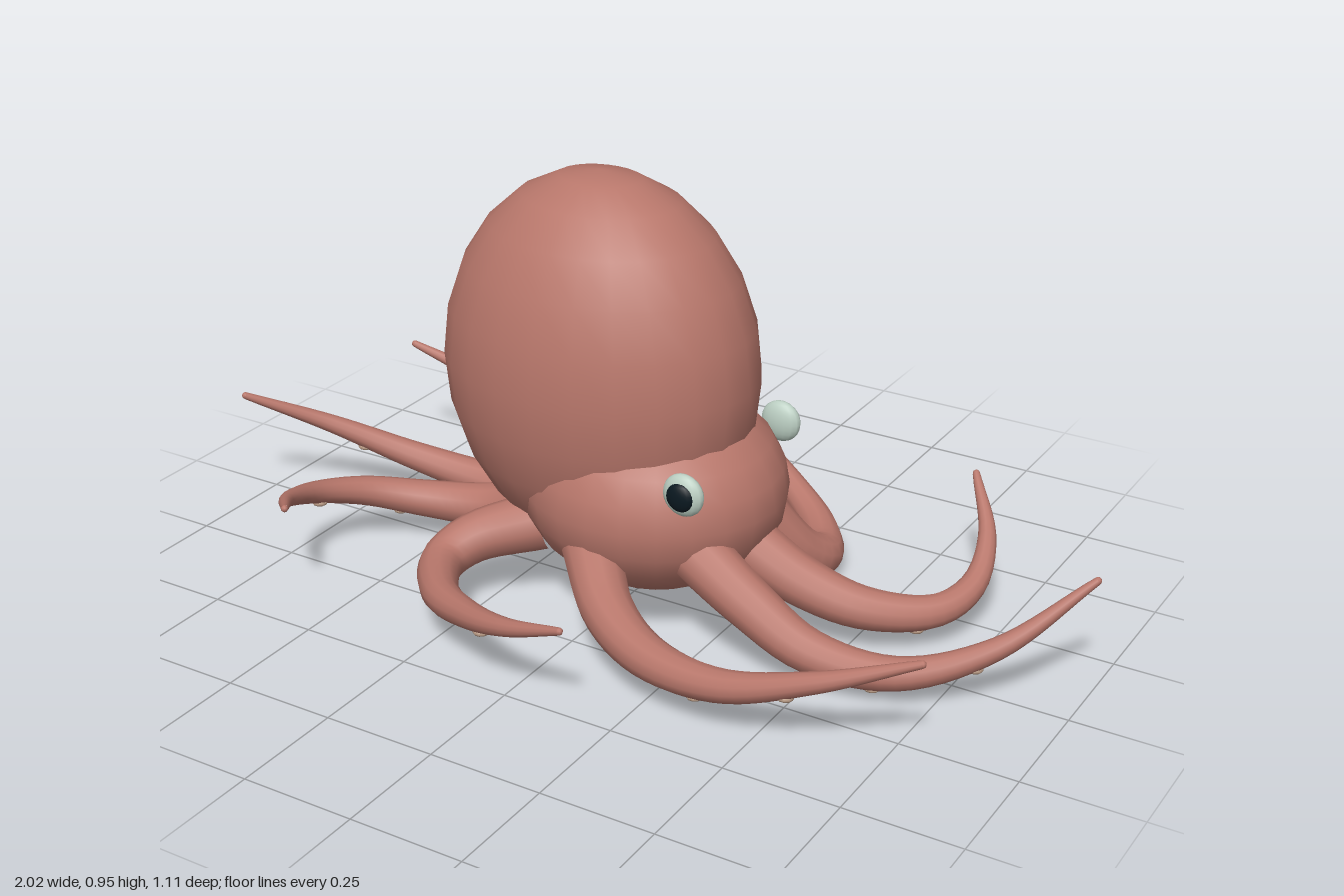
import * as THREE from 'three';

const mat = (name, color) => {
  const m = new THREE.MeshStandardMaterial({ color });
  m.name = name;
  return m;
};

export function createModel() {
  const skin = mat('skin', 0xb8776b);
  const suckerTan = mat('suckerTan', 0xb89a84);
  const eyeWhite = mat('eyeWhite', 0xbccfc3);
  const pupilBlack = mat('pupilBlack', 0x0a1820);
  const model = new THREE.Group();
  model.name = 'octopus';

  const ellipsoid = (name, material, pos, radii, parent = model, ws = 24, hs = 12) => {
    const geo = new THREE.SphereGeometry(1, ws, hs).scale(...radii);
    const mesh = new THREE.Mesh(geo, material);
    mesh.name = name;
    mesh.position.set(...pos);
    parent.add(mesh);
    return mesh;
  };

  // Body
  ellipsoid('mantle', skin, [-0.08, 0.525, 0], [0.355, 0.42, 0.272]);
  ellipsoid('head', skin, [0.05, 0.28, 0], [0.29, 0.22, 0.272]);

  // Eyes, one on each side of the head
  for (const [side, s] of [['left', 1], ['right', -1]]) {
    const eye = new THREE.Group();
    eye.name = side + 'Eye';
    ellipsoid('eyeball', eyeWhite, [0.24, 0.38, s * 0.206], [0.046, 0.046, 0.022], eye, 16, 12);
    ellipsoid('pupil', pupilBlack, [0.24, 0.38, s * 0.22], [0.031, 0.031, 0.014], eye, 16, 10);
    model.add(eye);
  }

  // Tapered arm swept along a curve, with a rounded tip and suckers beneath
  const SEG = 32, RADIAL = 12, BASE = 0.064, TIP = 0.008;
  const radiusAt = t => TIP + (BASE - TIP) * Math.pow(1 - t, 0.95);
  const addArm = (name, points) => {
    const arm = new THREE.Group();
    arm.name = name;
    const curve = new THREE.CatmullRomCurve3(points.map(p => new THREE.Vector3(...p)));
    const geo = new THREE.TubeGeometry(curve, SEG, 1, RADIAL);
    const pos = geo.attributes.position;
    const v = new THREE.Vector3();
    for (let i = 0; i <= SEG; i++) {
      const c = curve.getPointAt(i / SEG);
      for (let j = 0; j <= RADIAL; j++) {
        const k = i * (RADIAL + 1) + j;
        v.fromBufferAttribute(pos, k).sub(c).multiplyScalar(radiusAt(i / SEG)).add(c);
        pos.setXYZ(k, v.x, v.y, v.z);
      }
    }
    const tube = new THREE.Mesh(geo, skin);
    tube.name = 'armTube';
    arm.add(tube);
    ellipsoid('armTip', skin, curve.getPointAt(1).toArray(), [TIP, TIP, TIP], arm, 8, 6);
    for (const t of [0.48, 0.7]) {
      const p = curve.getPointAt(t);
      p.y -= radiusAt(t) * 0.95;
      ellipsoid('sucker', suckerTan, [p.x, Math.max(p.y, 0.01), p.z], [0.018, 0.009, 0.018], arm, 10, 6);
    }
    model.add(arm);
  };

  // Eight arms spiralling outward, listed from root to tip
  addArm('leftFrontArm', [[0.02, 0.2, 0.2], [0.12, 0.13, 0.3], [0.25, 0.095, 0.365],
    [0.43, 0.1, 0.395], [0.62, 0.155, 0.375], [0.82, 0.23, 0.32]]);
  addArm('leftInnerArm', [[0.22, 0.22, 0.13], [0.36, 0.145, 0.15], [0.5, 0.075, 0.15],
    [0.68, 0.06, 0.115], [0.85, 0.125, 0.03], [1.0, 0.26, -0.1]]);
  addArm('leftMiddleArm', [[0.26, 0.2, 0], [0.4, 0.13, -0.01], [0.53, 0.09, -0.04],
    [0.65, 0.075, -0.13], [0.69, 0.1, -0.23], [0.67, 0.16, -0.34], [0.59, 0.24, -0.455]]);
  addArm('leftRearArm', [[0.22, 0.21, -0.12], [0.29, 0.09, -0.2], [0.31, 0.045, -0.28],
    [0.25, 0.05, -0.385], [0.14, 0.09, -0.465], [0, 0.165, -0.52], [-0.165, 0.275, -0.55]]);
  addArm('rightRearArm', [[0.02, 0.2, -0.2], [-0.06, 0.09, -0.27], [-0.2, 0.075, -0.355],
    [-0.43, 0.125, -0.395], [-0.62, 0.2, -0.38], [-0.82, 0.28, -0.33]]);
  addArm('rightInnerArm', [[-0.16, 0.2, -0.11], [-0.3, 0.1, -0.15], [-0.45, 0.07, -0.16],
    [-0.66, 0.1, -0.125], [-0.85, 0.175, -0.04], [-1.0, 0.26, 0.085]]);
  addArm('rightMiddleArm', [[-0.18, 0.17, 0], [-0.38, 0.1, -0.01], [-0.53, 0.095, 0.03],
    [-0.64, 0.12, 0.11], [-0.69, 0.15, 0.22], [-0.67, 0.19, 0.34], [-0.595, 0.23, 0.44]]);
  addArm('rightFrontArm', [[-0.16, 0.18, 0.12], [-0.28, 0.14, 0.2], [-0.31, 0.11, 0.27],
    [-0.24, 0.105, 0.38], [-0.12, 0.125, 0.455], [0.01, 0.16, 0.51], [0.16, 0.21, 0.54]]);

  return model;
}
